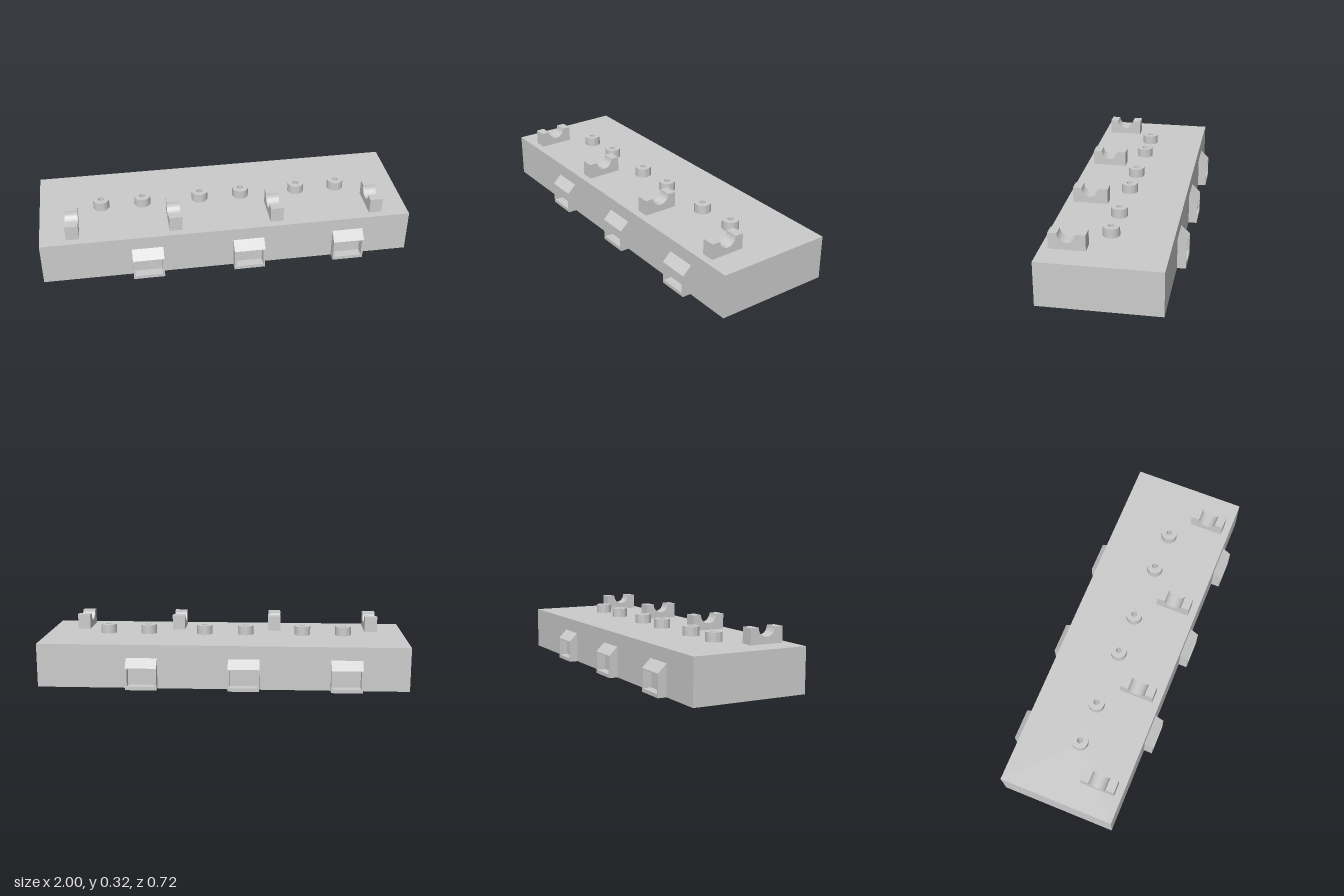
import * as THREE from 'three';
import { toCreasedNormals } from 'three/addons/utils/BufferGeometryUtils.js';

const material = new THREE.MeshStandardMaterial({ color: 0xcccccc });
const pegX = [-0.662, -0.435, -0.116, 0.114, 0.431, 0.659];
const BODY_TOP = 0.238, HALF_DEPTH = 0.315, BORE = 0.016;

function extrude(shape, depth) {
  const geometry = new THREE.ExtrudeGeometry(shape, { depth, bevelEnabled: false, curveSegments: 32 });
  return toCreasedNormals(geometry, 0.6);
}

// Extrudes a plan outline upwards, from y0 to y1
function slab(shape, y0, y1) {
  return extrude(shape, y1 - y0).rotateX(-Math.PI / 2).translate(0, y0, 0);
}

// Extrudes a (z, y) outline along x, centred on x = 0
function prism(points, width) {
  const geometry = extrude(new THREE.Shape(points.map(([z, y]) => new THREE.Vector2(-z, y))), width);
  return geometry.rotateY(Math.PI / 2).translate(-width / 2, 0, 0);
}

function rectangle(x0, y0, x1, y1, Type = THREE.Shape) {
  return new Type([[x0, y0], [x1, y0], [x1, y1], [x0, y1]].map((p) => new THREE.Vector2(...p)));
}

function circle(x, radius, Type = THREE.Path) {
  const path = new Type();
  path.absarc(x, 0, radius, 0, Math.PI * 2);
  return path;
}

function add(parent, name, geometry, x = 0) {
  const mesh = new THREE.Mesh(geometry, material);
  mesh.name = name;
  mesh.position.x = x;
  parent.add(mesh);
}

export function createModel() {
  const model = new THREE.Group();
  model.name = 'mountingBlock';

  // Body in three layers: wide recesses, shallow seats, then through bores
  const layers = [
    ['bodyRecessLayer', 0, 0.03, [-0.548, 0, 0.546], 0.238],
    ['bodySeatLayer', 0.03, 0.04, pegX, 0.107],
    ['bodyTopLayer', 0.04, BODY_TOP, pegX, BORE],
  ];
  for (const [name, y0, y1, centres, radius] of layers) {
    const plan = rectangle(-1, -HALF_DEPTH, 1, HALF_DEPTH);
    centres.forEach((x) => plan.holes.push(circle(x, radius)));
    add(model, name, slab(plan, y0, y1));
  }

  // Hollow pegs along the centre line
  const ring = circle(0, 0.044, THREE.Shape);
  ring.holes.push(circle(0, BORE));
  const pegGeometry = slab(ring, BODY_TOP, 0.288);
  pegX.forEach((x) => add(model, 'peg', pegGeometry, x));

  // Cradles with a half-round groove
  const cradle = [[0.275, BODY_TOP], [0.087, BODY_TOP], [0.087, 0.322]];
  for (let i = 0; i <= 24; i++) {
    const a = Math.PI * (1 + i / 24);
    cradle.push([0.181 + 0.048 * Math.cos(a), 0.322 + 0.048 * Math.sin(a)]);
  }
  cradle.push([0.275, 0.322]);
  const cradleGeometry = prism(cradle, 0.07);
  [-0.826, -0.277, 0.271, 0.82].forEach((x) => add(model, 'cradle', cradleGeometry, x));

  // Side catches: an open pocket frame under a sloping cap
  const frame = rectangle(-0.084, 0, 0.084, 0.12);
  frame.holes.push(rectangle(-0.074, 0.019, 0.074, 0.114, THREE.Path));
  const frameGeometry = extrude(frame, 0.047).translate(0, 0, HALF_DEPTH);
  const capGeometry = prism([[0.315, 0.12], [0.362, 0.12], [0.315, 0.166]], 0.168);
  for (const [side, centres] of [['front', [-0.437, 0.111, 0.659]], ['back', [-0.664, -0.116, 0.432]]]) {
    for (const x of centres) {
      const catchGroup = new THREE.Group();
      catchGroup.name = side + 'Catch';
      add(catchGroup, 'pocketFrame', frameGeometry);
      add(catchGroup, 'slopingCap', capGeometry);
      catchGroup.position.x = x;
      if (side === 'back') catchGroup.rotation.y = Math.PI;
      model.add(catchGroup);
    }
  }
  return model;
}
